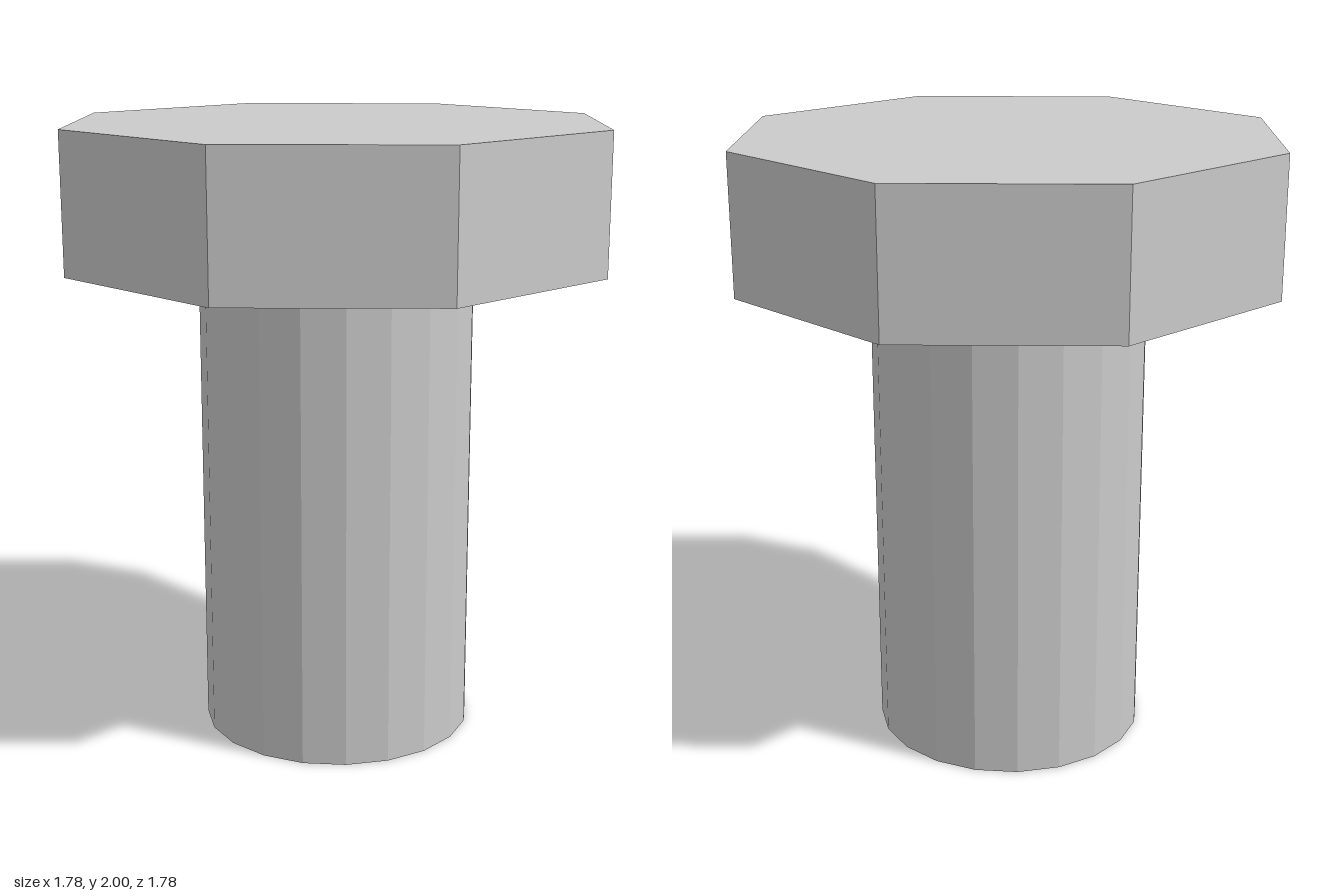
import * as THREE from 'three';

export function createModel() {
  const model = new THREE.Group();
  model.name = 'bolt';
  const material = new THREE.MeshStandardMaterial({ color: 0xcccccc, flatShading: true });

  // Upright prism standing on the given base height
  function addPrism(name, radius, bottom, top, sides) {
    const height = top - bottom;
    const mesh = new THREE.Mesh(new THREE.CylinderGeometry(radius, radius, height, sides), material);
    mesh.name = name;
    mesh.position.y = bottom + height / 2;
    model.add(mesh);
  }

  addPrism('shaft', 0.444, 0, 1.556, 20);
  // Octagonal head with corners on the x and z axes
  addPrism('head', 0.889, 1.556, 2, 8);

  return model;
}
